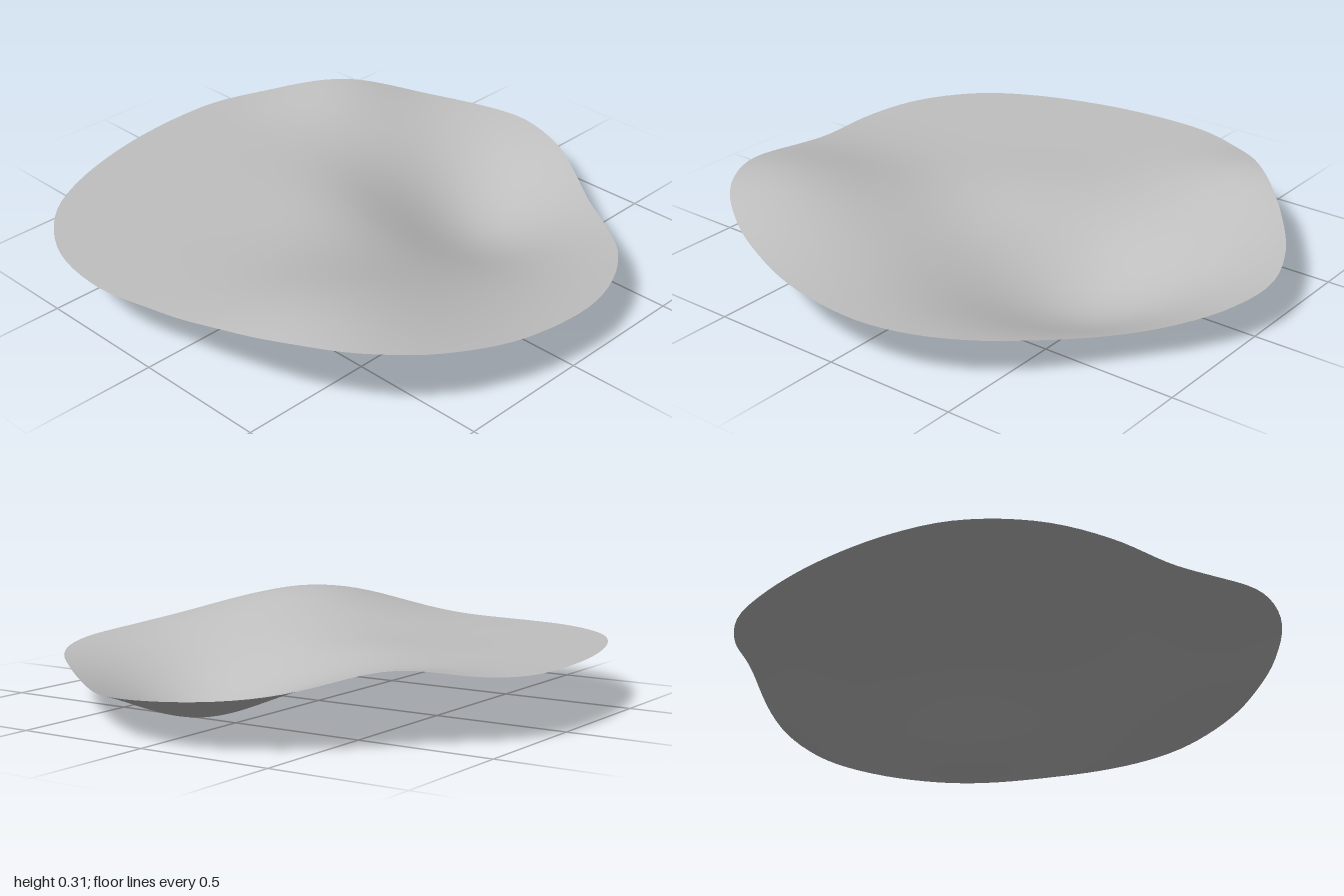
import * as THREE from 'three';

// Rim of the sheet as [x, z], seen from above
const RIM = [
  [0, -0.98], [0.2, -0.96], [0.4, -0.86], [0.6, -0.69], [0.8, -0.49], [0.93, -0.3],
  [1, -0.08], [0.96, 0.13], [0.87, 0.29], [0.73, 0.48], [0.6, 0.66], [0.47, 0.81],
  [0.3, 0.92], [0.1, 0.975], [-0.2, 0.96], [-0.42, 0.9], [-0.6, 0.82], [-0.78, 0.68],
  [-0.9, 0.47], [-0.95, 0.2], [-0.97, 0], [-1, -0.28], [-0.95, -0.53], [-0.8, -0.74],
  [-0.6, -0.86], [-0.3, -0.95],
];

// Smooth hill (or hollow) with its own widths and turn
function hill(x, z, cx, cz, height, sx, sz, turn = 0) {
  const c = Math.cos(turn), s = Math.sin(turn);
  const u = (x - cx) * c + (z - cz) * s;
  const v = (z - cz) * c - (x - cx) * s;
  return height * Math.exp(-(u * u) / (2 * sx * sx) - (v * v) / (2 * sz * sz));
}

function surfaceHeight(x, z) {
  return 0.197 - 0.015 * z
    + hill(x, z, 0.45, 0.2, -0.196, 0.28, 0.355, Math.PI / 4) // deep hollow
    + hill(x, z, -0.7, 0.52, 0.122, 0.35, 0.3)                // front hill
    + hill(x, z, 0.62, -0.7, 0.056, 0.2, 0.18)                // back hill
    + hill(x, z, -0.02, -0.12, 0.02, 0.2, 0.2);               // low middle rise
}

export function createModel() {
  const group = new THREE.Group();
  group.name = 'wavySheet';
  const grey = new THREE.MeshStandardMaterial({ color: 0xbfbfbf, side: THREE.DoubleSide });
  grey.name = 'plain grey';

  // Rings shrink from the rim to the centre
  const sides = 120, rings = 36;
  const curve = new THREE.CatmullRomCurve3(RIM.map(([x, z]) => new THREE.Vector3(x, 0, z)), true);
  const rim = curve.getSpacedPoints(sides).slice(0, sides);
  const positions = [0, surfaceHeight(0, 0), 0];
  const index = [];
  for (let r = 1; r <= rings; r++) {
    for (const p of rim) {
      const x = (p.x * r) / rings, z = (p.z * r) / rings;
      positions.push(x, surfaceHeight(x, z), z);
    }
  }
  const at = (r, i) => (r === 0 ? 0 : 1 + (r - 1) * sides + (i % sides));
  for (let r = 0; r < rings; r++) {
    for (let i = 0; i < sides; i++) {
      index.push(at(r, i), at(r + 1, i + 1), at(r + 1, i));
      if (r > 0) index.push(at(r, i), at(r, i + 1), at(r + 1, i + 1));
    }
  }
  const geometry = new THREE.BufferGeometry();
  geometry.setAttribute('position', new THREE.Float32BufferAttribute(positions, 3));
  geometry.setIndex(index);
  geometry.computeVertexNormals();

  // Rest the hollow on the ground
  geometry.computeBoundingBox();
  geometry.translate(0, -geometry.boundingBox.min.y, 0);

  const sheet = new THREE.Mesh(geometry, grey);
  sheet.name = 'sheet';
  group.add(sheet);
  return group;
}
